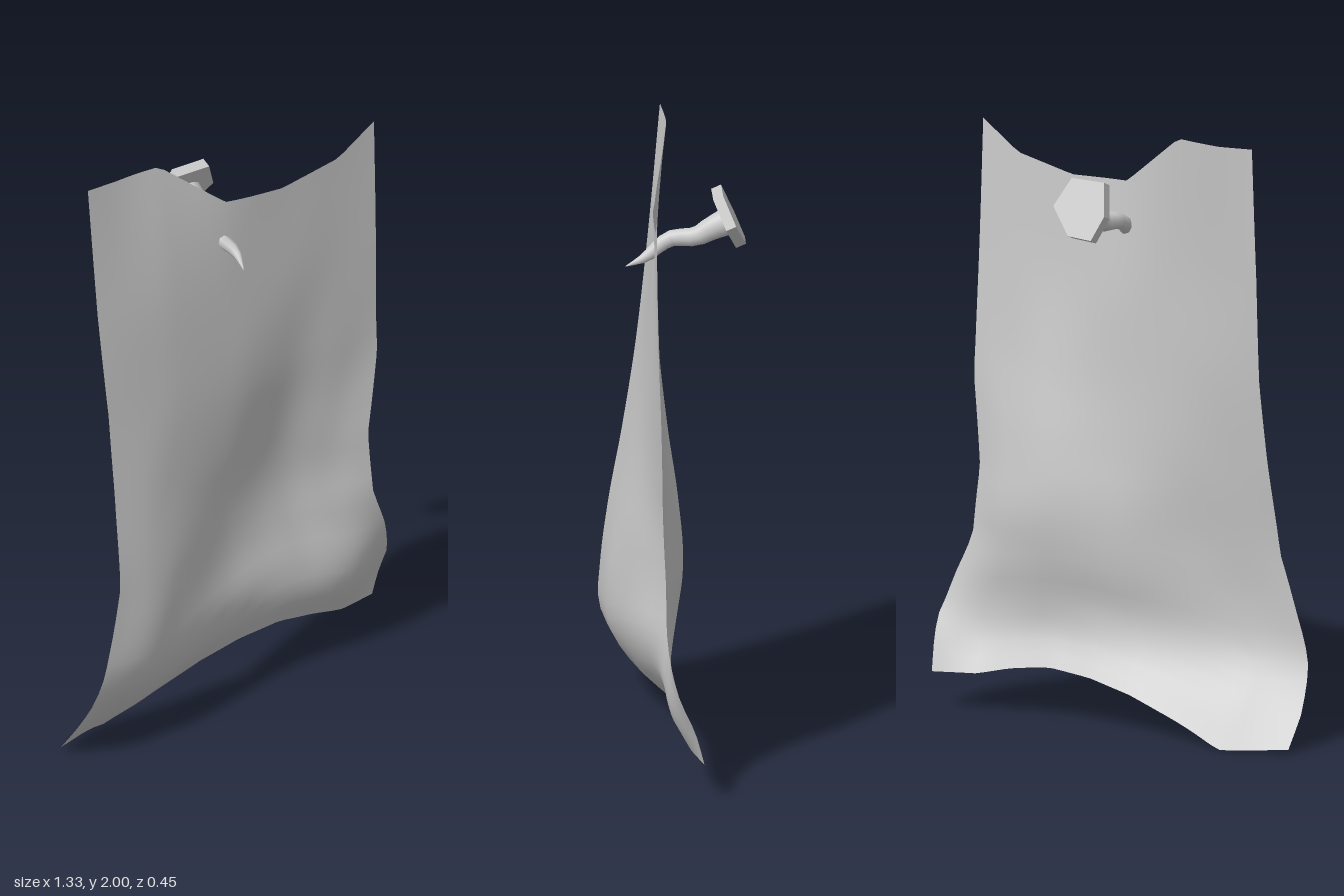
import * as THREE from 'three';

// Piecewise interpolation of values at keys; smooth = cubic Hermite, otherwise straight
function interp(keys, vals, t, smooth = false) {
  const n = keys.length;
  let i = 0;
  while (i < n - 2 && t > keys[i + 1]) i++;
  const h = keys[i + 1] - keys[i];
  const s = THREE.MathUtils.clamp((t - keys[i]) / h, 0, 1);
  const lin = vals[i] + (vals[i + 1] - vals[i]) * s;
  if (!smooth) return lin;
  const slope = (k) => {
    const a = Math.max(k - 1, 0), b = Math.min(k + 1, n - 1);
    return (vals[b] - vals[a]) / (keys[b] - keys[a]);
  };
  const s2 = s * s, s3 = s2 * s;
  return (2 * s3 - 3 * s2 + 1) * vals[i] + (s3 - 2 * s2 + s) * h * slope(i)
    + (3 * s2 - 2 * s3) * vals[i + 1] + (s3 - s2) * h * slope(i + 1);
}

// Ragged outline: top and bottom heights across the sheet, side edges by height
const topEdge = (u) => interp([0, 0.11, 0.26, 0.47, 0.67, 0.87, 1],
  [2, 1.995, 2, 1.82, 1.81, 1.855, 1.95], u);
const bottomEdge = (u) => interp([0, 0.17, 0.31, 0.445, 0.56, 0.68, 0.79, 0.885, 1],
  [0.015, 0, 0.07, 0.13, 0.165, 0.18, 0.16, 0.13, 0.125], u);
const leftEdge = (y) => interp([0.015, 0.12, 0.26, 0.45, 0.62, 0.93, 1.2, 1.55, 2],
  [-0.665, -0.66, -0.635, -0.58, -0.535, -0.52, -0.515, -0.53, -0.54], y);
const rightEdge = (y) => interp([0.125, 0.3, 0.43, 0.57, 0.8, 1.1, 1.2, 1.95],
  [0.65, 0.665, 0.63, 0.57, 0.545, 0.575, 0.57, 0.55], y);

// Depth of the billowing sheet: rows run from top to bottom
const uKeys = [0, 0.15, 0.27, 0.5, 0.72, 0.87, 1];
const vKeys = [0, 0.22, 0.4, 0.55, 0.68, 0.79, 0.87, 0.94, 1];
const depth = [
  [0.03, 0.02, 0.03, 0.08, 0.09, 0.095, 0.1],
  [0.07, 0.07, 0.07, 0.07, 0.08, 0.085, 0.095],
  [0.11, 0.1, 0.09, 0.07, 0.05, 0.07, 0.085],
  [0.155, 0.14, 0.11, 0.06, 0.015, 0.04, 0.08],
  [0.2, 0.18, 0.14, 0.05, 0, 0.02, 0.07],
  [0.222, 0.21, 0.16, 0.065, 0.025, 0.04, 0.065],
  [0.22, 0.2, 0.165, 0.09, 0.055, 0.06, 0.035],
  [0.15, 0.11, 0.11, 0.07, 0.06, 0.045, -0.02],
  [0.055, -0.015, 0, 0.01, 0.01, -0.01, -0.05],
];

function makeSheet(material) {
  const geo = new THREE.PlaneGeometry(1, 1, 36, 40);
  const p = geo.attributes.position;
  for (let i = 0; i < p.count; i++) {
    const u = p.getX(i) + 0.5, v = 0.5 - p.getY(i);
    const y = THREE.MathUtils.lerp(topEdge(u), bottomEdge(u), v);
    const x = THREE.MathUtils.lerp(leftEdge(y), rightEdge(y), u);
    const z = interp(vKeys, depth.map((row) => interp(uKeys, row, u, true)), v, true);
    p.setXYZ(i, x, y, z);
  }
  geo.computeVertexNormals();
  const mesh = new THREE.Mesh(geo, material);
  mesh.name = 'paperSheet';
  return mesh;
}

// Bent shaft: a tube whose rings are scaled down to a point at the tip
function makeShaft(material) {
  const path = new THREE.CatmullRomCurve3([
    [-0.02, 1.61, 0.17], [-0.005, 1.645, 0.105], [-0.03, 1.68, 0.055], [-0.03, 1.7, 0.02],
    [-0.015, 1.71, -0.06], [-0.01, 1.738, -0.11], [-0.01, 1.757, -0.152],
  ].map((a) => new THREE.Vector3(...a)));
  const segs = 12, sides = 8;
  const geo = new THREE.TubeGeometry(path, segs, 1, sides);
  const p = geo.attributes.position, v = new THREE.Vector3();
  for (let i = 0; i < p.count; i++) {
    const t = Math.floor(i / (sides + 1)) / segs;
    const r = interp([0, 0.22, 0.45, 0.75, 1], [0.001, 0.019, 0.027, 0.034, 0.046], t);
    const c = path.getPointAt(t);
    v.fromBufferAttribute(p, i).sub(c).multiplyScalar(r).add(c);
    p.setXYZ(i, v.x, v.y, v.z);
  }
  const mesh = new THREE.Mesh(geo, material);
  mesh.name = 'nailShaft';
  return mesh;
}

// Uneven six-sided head, tilted back
function makeHead(material) {
  const outline = [[-0.08, 0.1], [-0.11, -0.01], [-0.08, -0.095], [0.01, -0.09], [0.09, 0], [0.045, 0.1]];
  const shape = new THREE.Shape(outline.map(([x, y]) => new THREE.Vector2(x, y)));
  const geo = new THREE.ExtrudeGeometry(shape, { depth: 0.035, bevelEnabled: false });
  const mesh = new THREE.Mesh(geo, material);
  mesh.rotation.x = 0.41;
  mesh.position.set(0, 1.772, -0.183);
  mesh.name = 'nailHead';
  return mesh;
}

export function createModel() {
  const paper = new THREE.MeshStandardMaterial({ color: 0xcccccc, side: THREE.DoubleSide });
  const metal = new THREE.MeshStandardMaterial({ color: 0xcccccc });
  const nail = new THREE.Group();
  nail.name = 'nail';
  nail.add(makeShaft(metal), makeHead(metal));
  const model = new THREE.Group();
  model.name = 'nailedNotice';
  model.add(makeSheet(paper), nail);
  return model;
}
